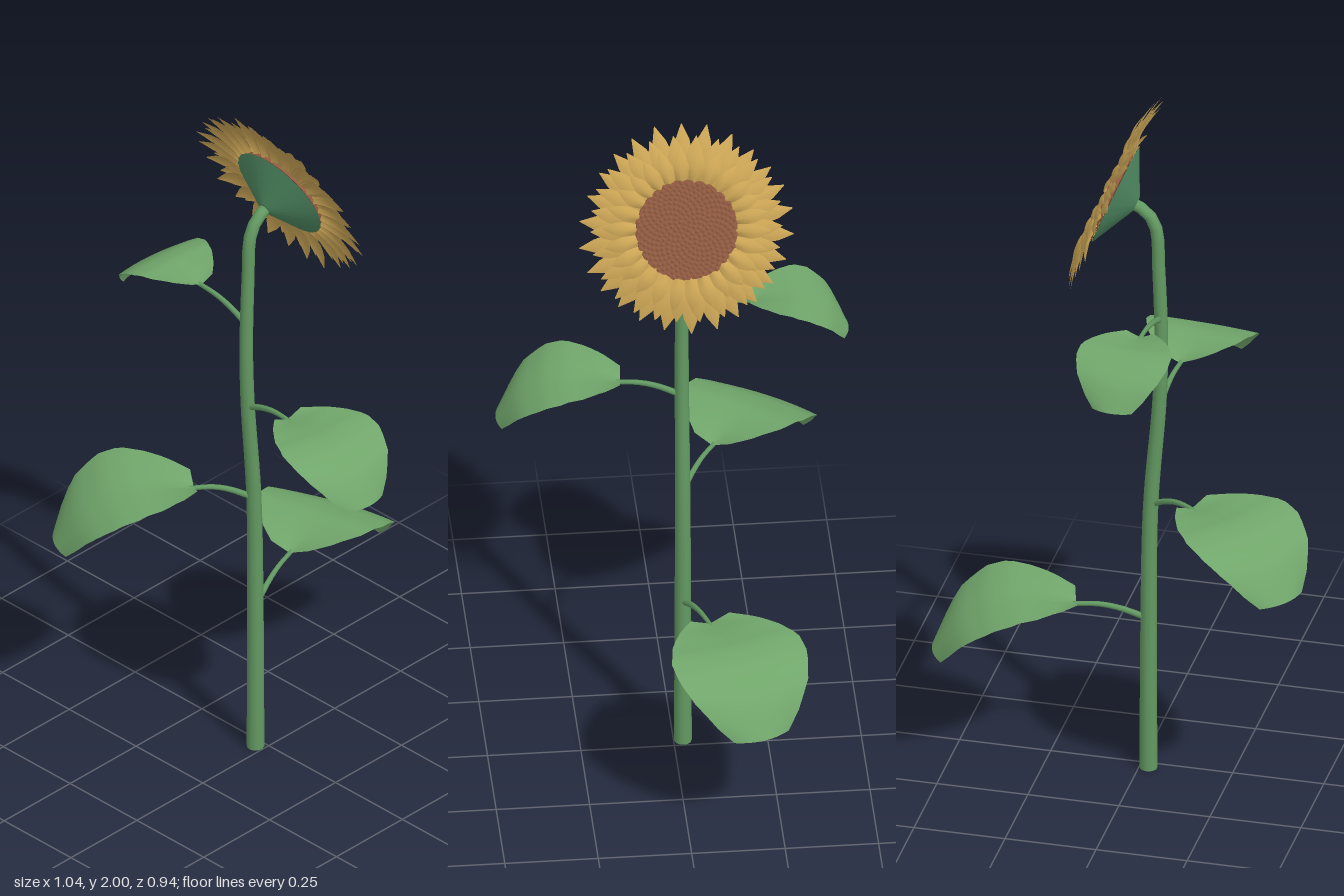
import * as THREE from 'three';
import { mergeGeometries } from 'three/addons/utils/BufferGeometryUtils.js';

const V = (x, y, z) => new THREE.Vector3(x, y, z);
const mat = (name, color, side = THREE.FrontSide) => {
  const m = new THREE.MeshStandardMaterial({ color, side });
  m.name = name;
  return m;
};

// Grid surface: fn(t along 0..1, s across -1..1) gives a point
function surface(rows, cols, fn) {
  const pos = [], idx = [];
  for (let i = 0; i <= rows; i++)
    for (let j = 0; j <= cols; j++) pos.push(...fn(i / rows, (2 * j) / cols - 1));
  for (let i = 0; i < rows; i++)
    for (let j = 0; j < cols; j++) {
      const a = i * (cols + 1) + j, b = a + 1, c = a + cols + 1, d = c + 1;
      idx.push(a, b, c, b, d, c);
    }
  const g = new THREE.BufferGeometry();
  g.setAttribute('position', new THREE.Float32BufferAttribute(pos, 3));
  g.setIndex(idx);
  g.computeVertexNormals();
  return g;
}

// Linear lookup in a list of [t, value]
function lookup(list, t) {
  for (let i = 1; i < list.length; i++) {
    const [t0, v0] = list[i - 1], [t1, v1] = list[i];
    if (t <= t1) return v0 + ((v1 - v0) * (t - t0)) / (t1 - t0);
  }
  return list[list.length - 1][1];
}

// Tube that narrows from r0 to r1
function taperedTube(points, r0, r1, segments, sides) {
  const curve = new THREE.CatmullRomCurve3(points);
  const g = new THREE.TubeGeometry(curve, segments, 1, sides);
  const p = g.attributes.position, v = V(0, 0, 0);
  for (let i = 0; i < p.count; i++) {
    const u = Math.floor(i / (sides + 1)) / segments;
    const c = curve.getPointAt(u);
    v.fromBufferAttribute(p, i).sub(c).multiplyScalar(r0 + (r1 - r0) * u).add(c);
    p.setXYZ(i, v.x, v.y, v.z);
  }
  return g;
}

const LEAF_WIDTH = [[0, 0.3], [0.12, 0.55], [0.3, 0.82], [0.5, 0.99], [0.65, 1], [0.82, 0.87], [0.93, 0.65], [1, 0.42]];
const LEAF_RISE = [[0, 0.045], [0.2, 0.064], [0.45, 0.075], [0.62, 0.062], [0.8, 0.022], [0.9, -0.02], [1, -0.085]];

export function createModel() {
  const root = new THREE.Group();
  root.name = 'sunflower';
  const stemMat = mat('stem green', 0x639a62);
  const leafMat = mat('leaf green', 0x70a56a, THREE.DoubleSide);
  const calyxMat = mat('calyx green', 0x4f8a62, THREE.DoubleSide);
  const petalMat = mat('petal gold', 0xcaa455, THREE.DoubleSide);
  const seedMat = mat('seed brown', 0x905a40);
  const add = (parent, name, geometry, material) => {
    const m = new THREE.Mesh(geometry, material);
    m.name = name;
    parent.add(m);
    return m;
  };

  // Stem with hooked top
  const Z = -0.025;
  add(root, 'stem', taperedTube([
    V(-0.025, 0, Z), V(-0.025, 0.4, Z), V(-0.031, 0.8, Z), V(-0.055, 1.12, Z), V(-0.06, 1.3, Z),
    V(-0.053, 1.52, Z), V(-0.045, 1.645, Z), V(-0.018, 1.69, Z), V(0.03, 1.715, Z),
  ], 0.024, 0.0165, 48, 10), stemMat);
  const base = add(root, 'stemBase', new THREE.CircleGeometry(0.024, 10), stemMat);
  base.rotation.x = Math.PI / 2;
  base.position.set(-0.025, 0.001, Z);

  // Leaves: attachment, heading, blade start, blade end, half width, rise scale
  const leaves = [
    { name: 'leftLeaf', at: [-0.022, 0.46], dir: [0.957, -0.29], from: 0.19, to: 0.575, half: 0.185, k: 1 },
    { name: 'rightLeaf', at: [-0.035, 0.81], dir: [-0.82, -0.57], from: 0.16, to: 0.54, half: 0.178, k: 1 },
    { name: 'frontLeaf', at: [-0.055, 1.11], dir: [-0.09, 0.996], from: 0.165, to: 0.497, half: 0.152, k: 0.85 },
    { name: 'backLeaf', at: [-0.058, 1.375], dir: [0.06, -0.998], from: 0.18, to: 0.445, half: 0.128, k: 0.72 },
  ];
  for (const l of leaves) {
    const leaf = new THREE.Group();
    leaf.name = l.name;
    leaf.position.set(l.at[0], l.at[1], Z);
    leaf.rotation.y = -Math.atan2(l.dir[1], l.dir[0]);
    const y0 = LEAF_RISE[0][1] * l.k;
    add(leaf, 'leafStalk', taperedTube([
      V(0, -0.006, 0), V(l.from * 0.4, y0 * 0.6, 0), V(l.from * 0.7, y0 * 0.9, 0), V(l.from + 0.03, y0 - 0.002, 0),
    ], 0.009, 0.006, 10, 6), stemMat);
    // Blade bends down at the tip, with a shallow channel near the stalk
    add(leaf, 'leafBlade', surface(16, 8, (t, s) => [
      l.from + (l.to - l.from) * (t - 0.05 * s * s * t),
      l.k * (lookup(LEAF_RISE, t) + 0.022 * Math.abs(s) * (1 - t) ** 2),
      s * l.half * lookup(LEAF_WIDTH, t),
    ]), leafMat);
    root.add(leaf);
  }

  // Flower head, built facing +z and then turned to face +x and upward
  const head = new THREE.Group();
  head.name = 'flowerHead';
  head.position.set(0.072, 1.735, Z);
  head.rotation.set(0, Math.PI / 2, 0.393, 'ZYX');
  root.add(head);

  add(head, 'calyx', new THREE.CylinderGeometry(0.145, 0.02, 0.062, 24)
    .rotateX(Math.PI / 2).translate(0, 0, -0.038), calyxMat);
  add(head, 'seedDisc', new THREE.CylinderGeometry(0.136, 0.14, 0.022, 36)
    .rotateX(Math.PI / 2).translate(0, 0, 0.007), seedMat);

  // Spiral of small seeds
  const seeds = [];
  for (let i = 0; i < 320; i++) {
    const r = 0.133 * Math.sqrt((i + 0.5) / 320), a = i * 2.39996;
    seeds.push(new THREE.ConeGeometry(0.0085, 0.004, 5, 1, true).rotateX(Math.PI / 2)
      .translate(r * Math.cos(a), r * Math.sin(a), 0.0195));
  }
  add(head, 'seeds', mergeGeometries(seeds), seedMat);

  // Petal rings: pointed petals with a raised middle
  const PETAL_WIDTH = [[0, 0.6], [0.3, 0.9], [0.5, 1], [0.75, 0.72], [1, 0.04]];
  const petal = (r0, r1, half, zBase, zTip) => surface(8, 4, (t, s) => [
    s * half * lookup(PETAL_WIDTH, t),
    r0 + (r1 - r0) * t,
    zBase + (zTip - zBase) * t + 0.012 * Math.sin(Math.PI * t) + 0.011 * (1 - s * s) * (1 - t),
  ]);
  const rings = [
    { name: 'outerPetals', n: 26, r: 0.284, half: 0.026, zb: -0.006, zt: -0.008, turn: 0 },
    { name: 'middlePetals', n: 26, r: 0.262, half: 0.025, zb: 0, zt: 0.002, turn: 0.5 },
    { name: 'innerPetals', n: 26, r: 0.222, half: 0.021, zb: 0.004, zt: 0.012, turn: 0.15 },
  ];
  for (const ring of rings) {
    const list = [];
    for (let i = 0; i < ring.n; i++) {
      const vary = Math.sin(i * 7.3 + ring.r * 90);
      list.push(petal(0.122, ring.r + 0.006 * vary, ring.half, ring.zb, ring.zt + 0.005 * Math.sin(i * 4.1))
        .rotateZ(((i + ring.turn + 0.08 * vary) * Math.PI * 2) / ring.n));
    }
    add(head, ring.name, mergeGeometries(list), petalMat);
  }
  return root;
}
